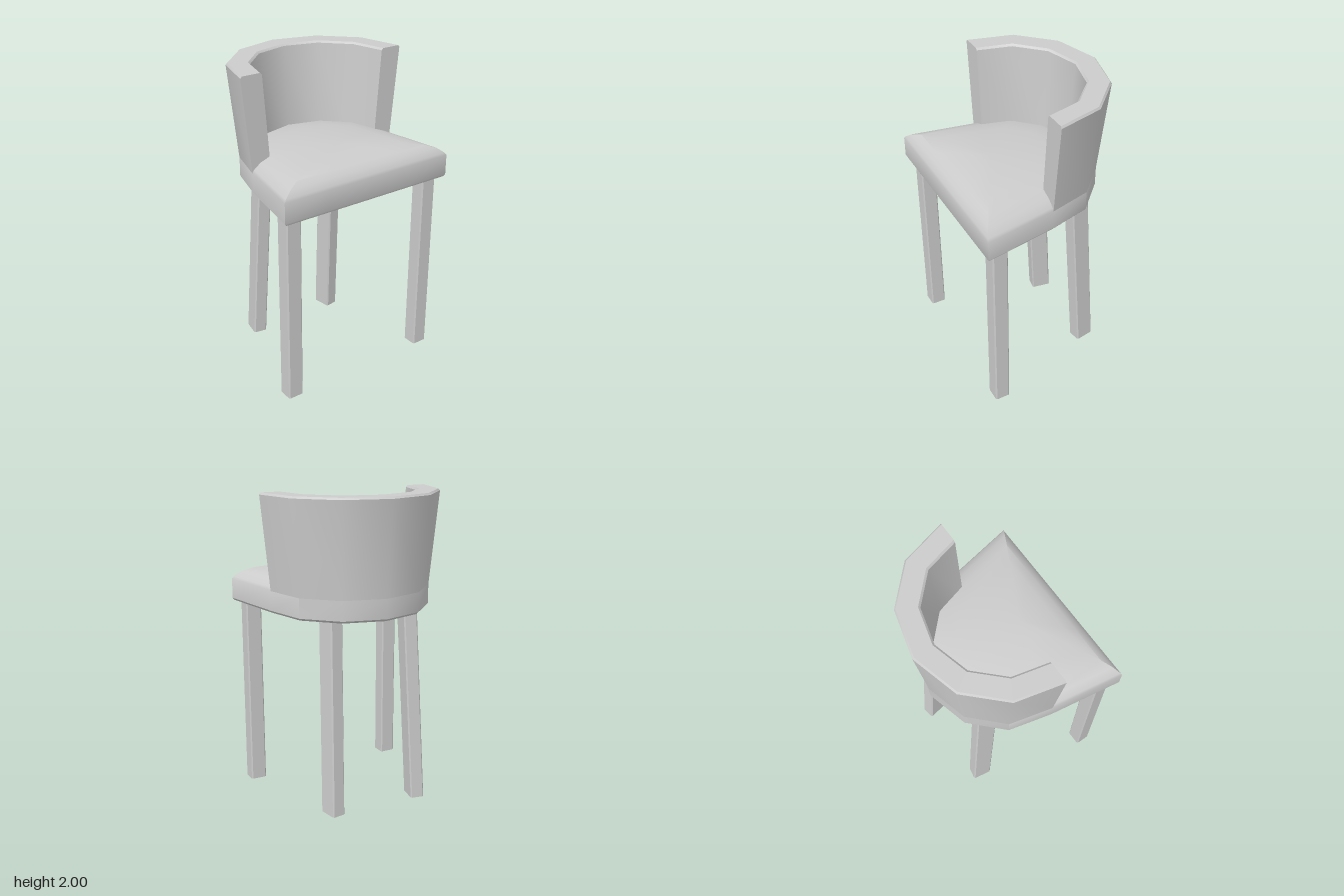
import * as THREE from 'three';
import { toCreasedNormals } from 'three/addons/utils/BufferGeometryUtils.js';

const V = (x, y, z) => new THREE.Vector3(x, y, z);
const material = new THREE.MeshStandardMaterial({ color: 0xcccccc });
const openMaterial = new THREE.MeshStandardMaterial({ color: 0xcccccc, side: THREE.DoubleSide });

// Skin a list of equal-length rings; optionally wrap each ring and cap both ends.
function loft(rings, wrap, capEnds) {
  const positions = [];
  const tri = (a, b, c) => {
    const area = b.clone().sub(a).cross(c.clone().sub(a)).length();
    if (area > 1e-9) for (const p of [a, b, c]) positions.push(p.x, p.y, p.z);
  };
  const n = rings[0].length;
  for (let i = 0; i < rings.length - 1; i++) {
    for (let j = 0; j < (wrap ? n : n - 1); j++) {
      const k = (j + 1) % n;
      tri(rings[i][j], rings[i][k], rings[i + 1][k]);
      tri(rings[i][j], rings[i + 1][k], rings[i + 1][j]);
    }
  }
  if (capEnds) {
    const first = rings[0], last = rings[rings.length - 1];
    for (let j = 1; j < n - 1; j++) {
      tri(first[0], first[j + 1], first[j]);
      tri(last[0], last[j], last[j + 1]);
    }
  }
  const g = new THREE.BufferGeometry();
  g.setAttribute('position', new THREE.Float32BufferAttribute(positions, 3));
  return toCreasedNormals(g, 0.6);
}

function add(group, name, geometry, mat = material) {
  const mesh = new THREE.Mesh(geometry, mat);
  mesh.name = name;
  group.add(mesh);
  return mesh;
}

// Mirror a half outline that ends on the centre back.
const mirrored = half => [...half, ...half.slice(0, -1).reverse().map(([x, z]) => [x, -z])];

// Plan outlines, listed from the arm's front end round to the back centre
const outerBase = mirrored([[0.06, 0.53], [-0.21, 0.46], [-0.40, 0.265], [-0.47, 0]]);
const outerTop = mirrored([[0.06, 0.59], [-0.235, 0.515], [-0.45, 0.30], [-0.53, 0]]);
const innerBase = mirrored([[0.06, 0.40], [-0.145, 0.345], [-0.29, 0.20], [-0.34, 0]]);
const innerTop = mirrored([[0.06, 0.445], [-0.16, 0.39], [-0.325, 0.225], [-0.385, 0]]);

// Seat: rounded slab rising to a domed cushion, as concentric rings
function seatGeometry() {
  const outline = [...outerBase].reverse();
  for (const z of [0.61, 0.3, 0, -0.3, -0.61]) outline.push([0.527, z]);
  const cx = 0.2;
  const levels = [
    [0, 1.25], [0.98, 1.25], [1, 1.264], [1, 1.395], [0.98, 1.412],
    [0.9, 1.447], [0.78, 1.473], [0.6, 1.49], [0.4, 1.502], [0.2, 1.51], [0, 1.513],
  ];
  return loft(levels.map(([s, y]) =>
    outline.map(([x, z]) => V(cx + (x - cx) * s, y, z * s))), true, false);
}

// Back: flared curved wall with a softened top rim
function backGeometry() {
  const rings = outerBase.map((p, i) => {
    const ob = V(p[0], 1.39, p[1]);
    const ot = V(outerTop[i][0], 2, outerTop[i][1]);
    const ib = V(innerBase[i][0], 1.39, innerBase[i][1]);
    const it = V(innerTop[i][0], 2, innerTop[i][1]);
    return [
      ob, ot.clone().lerp(ob, 0.02), ot.clone().lerp(it, 0.08),
      it.clone().lerp(ot, 0.08), it.clone().lerp(ib, 0.02), ib,
    ];
  });
  return loft(rings, false, true);
}

// Leg: open tube with chamfered corners, its top shifted to lean
function legGeometry(w, d, turn, bottom, top) {
  const c = 0.008, a = w / 2, b = d / 2;
  const profile = [
    [-a + c, b], [a - c, b], [a, b - c], [a, -b + c],
    [a - c, -b], [-a + c, -b], [-a, -b + c], [-a, b - c],
  ];
  const ring = ([cx, cz], y) => profile.map(([x, z]) =>
    V(x, 0, z).applyAxisAngle(V(0, 1, 0), turn).add(V(cx, y, cz)));
  return loft([ring(bottom, 0), ring(top, 1.26)], true, false);
}

export function createModel() {
  const chair = new THREE.Group();
  chair.name = 'chair';
  add(chair, 'seat', seatGeometry());
  add(chair, 'backrest', backGeometry());
  for (const s of [1, -1]) {
    const side = s > 0 ? 'Right' : 'Left';
    add(chair, 'straightLeg' + side,
      legGeometry(0.1, 0.105, 0, [0.43, s * 0.517], [0.43, s * 0.517]), openMaterial);
    add(chair, 'splayedLeg' + side,
      legGeometry(0.13, 0.09, -s * 0.17, [-0.335, s * 0.302], [-0.255, s * 0.272]), openMaterial);
  }
  return chair;
}
